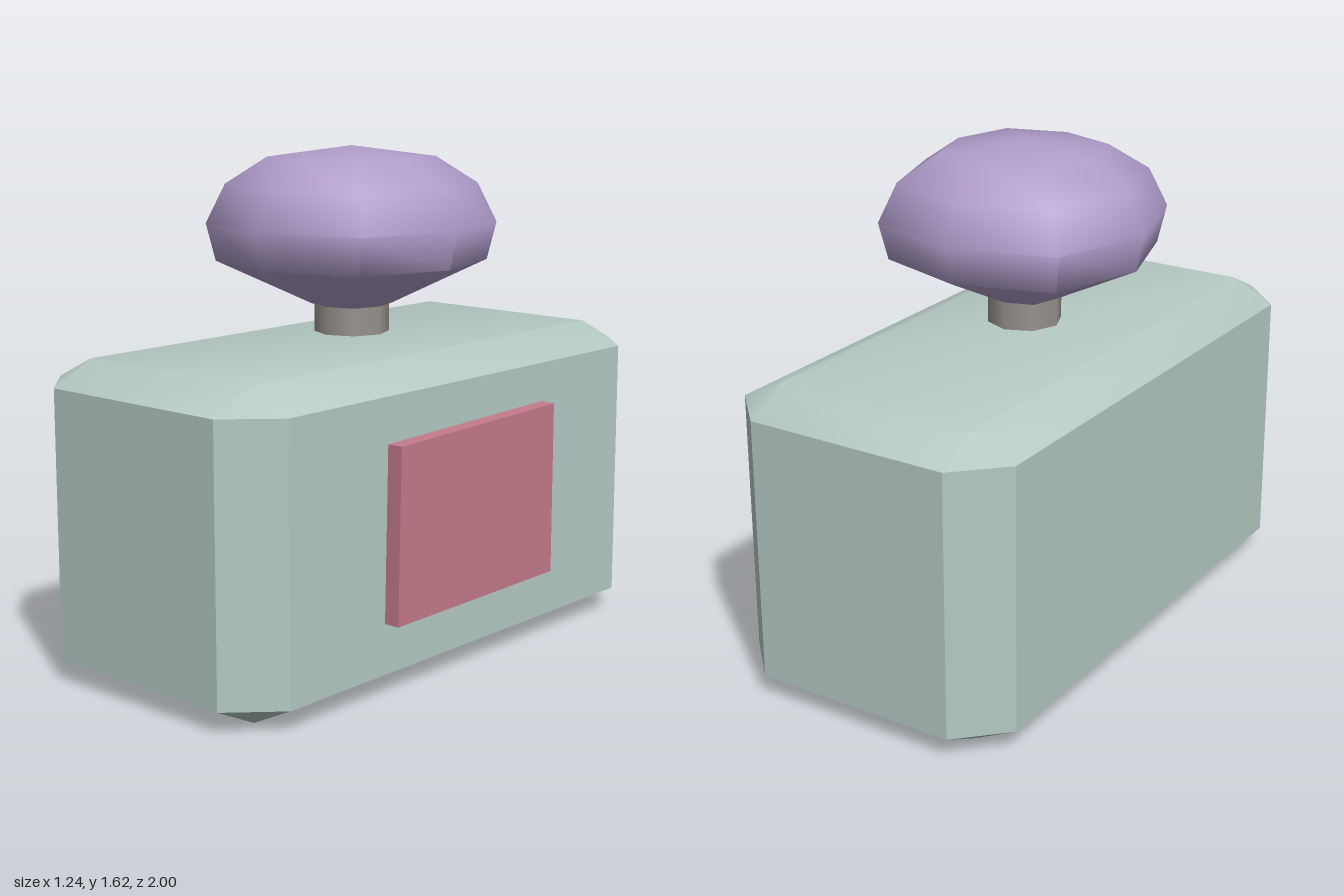
import * as THREE from 'three';
import { toCreasedNormals } from 'three/addons/utils/BufferGeometryUtils.js';
import { ConvexGeometry } from 'three/addons/geometries/ConvexGeometry.js';

const makeMaterial = (name, color) => {
  const material = new THREE.MeshStandardMaterial({ color });
  material.name = name;
  return material;
};

// Chamfered block: octagonal sides, sloping in to smaller rectangular ends
function chamferedBlock(halfX, halfZ, cut, height, bevel) {
  const points = [];
  for (const sx of [-1, 1]) for (const sz of [-1, 1]) {
    const x = sx * halfX, z = sz * halfZ;
    const innerX = sx * (halfX - cut), innerZ = sz * (halfZ - cut);
    for (const y of [0, height]) points.push(new THREE.Vector3(innerX, y, innerZ));
    for (const y of [bevel, height - bevel]) {
      points.push(new THREE.Vector3(x, y, innerZ), new THREE.Vector3(innerX, y, z));
    }
  }
  return toCreasedNormals(new ConvexGeometry(points), 0.5);
}

// Eight-sided lathe with its diagonals pushed out towards a square plan
function squaredLathe(profile, push) {
  const geometry = new THREE.LatheGeometry(profile.map(([r, y]) => new THREE.Vector2(r, y)), 8);
  const pos = geometry.attributes.position;
  for (let i = 0; i < pos.count; i++) {
    const x = pos.getX(i), z = pos.getZ(i);
    if (Math.min(Math.abs(x), Math.abs(z)) > 0.01) pos.setXYZ(i, x * push, pos.getY(i), z * push);
  }
  return toCreasedNormals(geometry, 0.9);
}

export function createModel() {
  const model = new THREE.Group();
  model.name = 'bottle';
  const glass = makeMaterial('pale green glass', 0xb5cac4);
  const purple = makeMaterial('lilac', 0xb09dcb);
  const pink = makeMaterial('rose', 0xc47b8a);
  const grey = makeMaterial('warm grey', 0x98928c);

  // The whole bottle stands turned by ten degrees
  const turned = new THREE.Group();
  turned.name = 'turnedBottle';
  turned.rotation.y = THREE.MathUtils.degToRad(-10);
  model.add(turned);

  const add = (name, geometry, material) => {
    const mesh = new THREE.Mesh(geometry, material);
    mesh.name = name;
    turned.add(mesh);
    return mesh;
  };

  add('body', chamferedBlock(0.488, 0.955, 0.147, 0.995, 0.072), glass);

  // Neck floats just above the body
  const neck = new THREE.CylinderGeometry(0.12, 0.12, 0.1, 8);
  add('neck', neck, grey).position.y = 1.07;

  // Faceted stopper
  add('stopper', squaredLathe([
    [0.12, 1.11], [0.405, 1.25], [0.433, 1.37], [0.375, 1.495], [0.25, 1.58], [0, 1.615],
  ], 1.075), purple);

  // Slightly uneven label slab on the left side
  const outline = new THREE.Shape([
    [-0.397, 0.232], [0.37, 0.238], [0.37, 0.797], [-0.385, 0.78],
  ].map(([x, y]) => new THREE.Vector2(x, y)));
  const label = add('label', new THREE.ExtrudeGeometry(outline, { depth: 0.07, bevelEnabled: false }), pink);
  label.rotation.y = Math.PI / 2;
  label.position.x = 0.47;

  return model;
}
